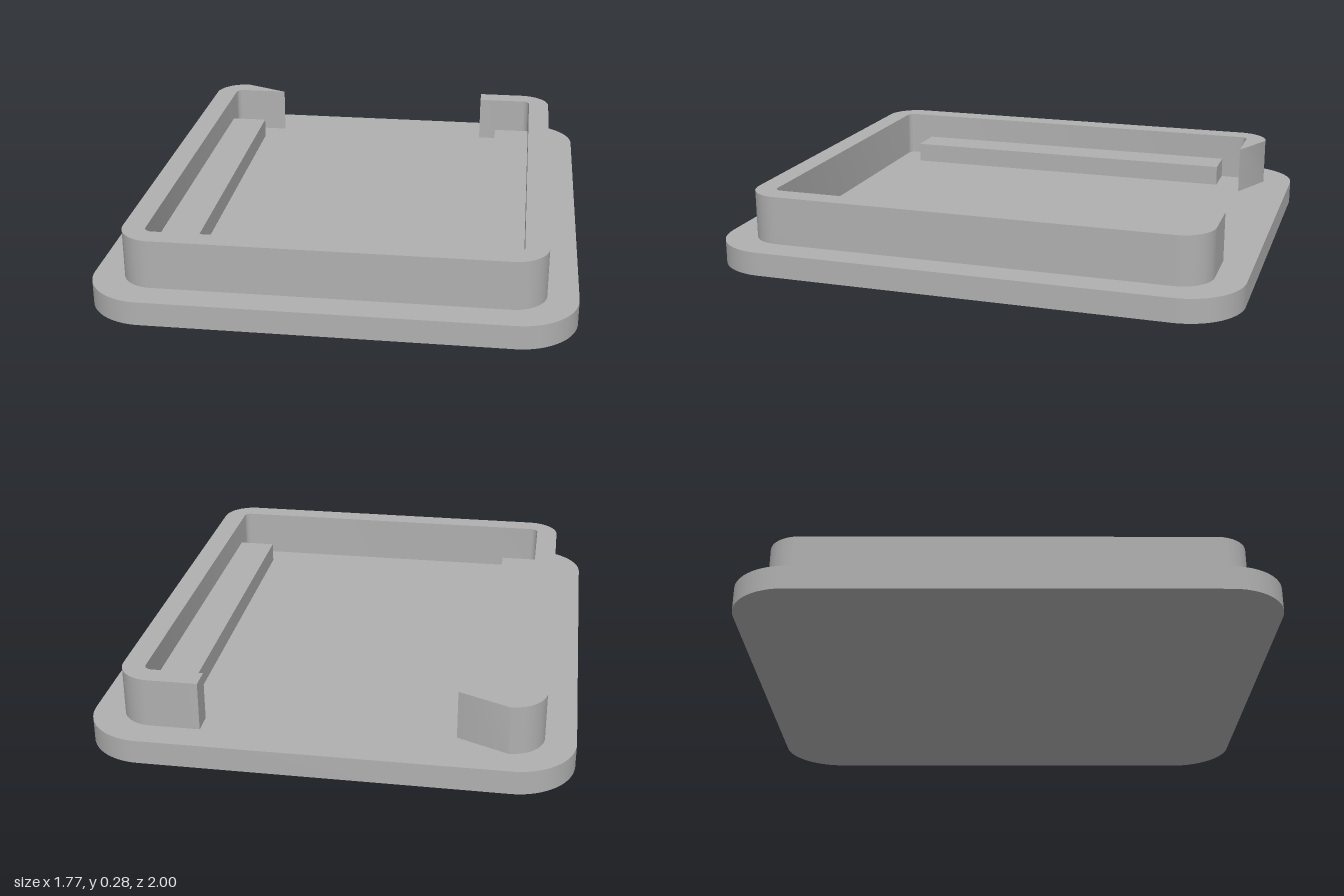
import * as THREE from 'three';
import { toCreasedNormals } from 'three/addons/utils/BufferGeometryUtils.js';

const BASE_H = 0.09, WALL_H = 0.185, RAIL_H = 0.08;

// Rounded rectangle centred on the origin
function roundedRect(hx, hy, r) {
  const s = new THREE.Shape();
  s.absarc(hx - r, hy - r, r, 0, Math.PI / 2);
  s.absarc(-hx + r, hy - r, r, Math.PI / 2, Math.PI);
  s.absarc(-hx + r, -hy + r, r, Math.PI, Math.PI * 1.5);
  s.absarc(hx - r, -hy + r, r, Math.PI * 1.5, Math.PI * 2);
  s.closePath();
  return s;
}

// Rounded wall outline, open between x = -gap and gap at the back (shape +y)
function openWall(ox, oy, or, ix, iy, ir, gap) {
  const s = new THREE.Shape();
  const q = Math.PI / 2;
  s.moveTo(-gap, oy);
  s.absarc(-ox + or, oy - or, or, q, 2 * q);
  s.absarc(-ox + or, -oy + or, or, 2 * q, 3 * q);
  s.absarc(ox - or, -oy + or, or, 3 * q, 4 * q);
  s.absarc(ox - or, oy - or, or, 0, q);
  s.lineTo(gap, oy);
  s.lineTo(gap, iy);
  s.absarc(ix - ir, iy - ir, ir, q, 0, true);
  s.absarc(ix - ir, -iy + ir, ir, 0, -q, true);
  s.absarc(-ix + ir, -iy + ir, ir, -q, -2 * q, true);
  s.absarc(-ix + ir, iy - ir, ir, 2 * q, q, true);
  s.lineTo(-gap, iy);
  s.closePath();
  return s;
}

// Upright extrusion with smooth corners and sharp rims
function extrudeUp(shape, height) {
  const g = new THREE.ExtrudeGeometry(shape, { depth: height, bevelEnabled: false, curveSegments: 16 });
  g.rotateX(-Math.PI / 2);
  return toCreasedNormals(g, Math.PI / 6);
}

export function createModel() {
  const group = new THREE.Group();
  group.name = 'lid';
  const grey = new THREE.MeshStandardMaterial({ color: 0xb0b0b0 });
  grey.name = 'grey plastic';

  const add = (name, geometry, x, y, z) => {
    const mesh = new THREE.Mesh(geometry, grey);
    mesh.name = name;
    mesh.position.set(x, y, z);
    group.add(mesh);
  };

  // Base plate
  add('basePlate', extrudeUp(roundedRect(0.883, 1, 0.22), BASE_H), 0, 0, 0);

  // Raised lip with a gap at the back
  add('lip', extrudeUp(openWall(0.77, 0.885, 0.125, 0.683, 0.802, 0.03, 0.46), WALL_H), 0, BASE_H, 0);

  // Low rails along the inner sides
  for (const side of [1, -1]) {
    add(side > 0 ? 'leftRail' : 'rightRail',
      new THREE.BoxGeometry(0.148, RAIL_H, 1.39), side * 0.609, BASE_H + RAIL_H / 2, 0);
  }
  return group;
}
